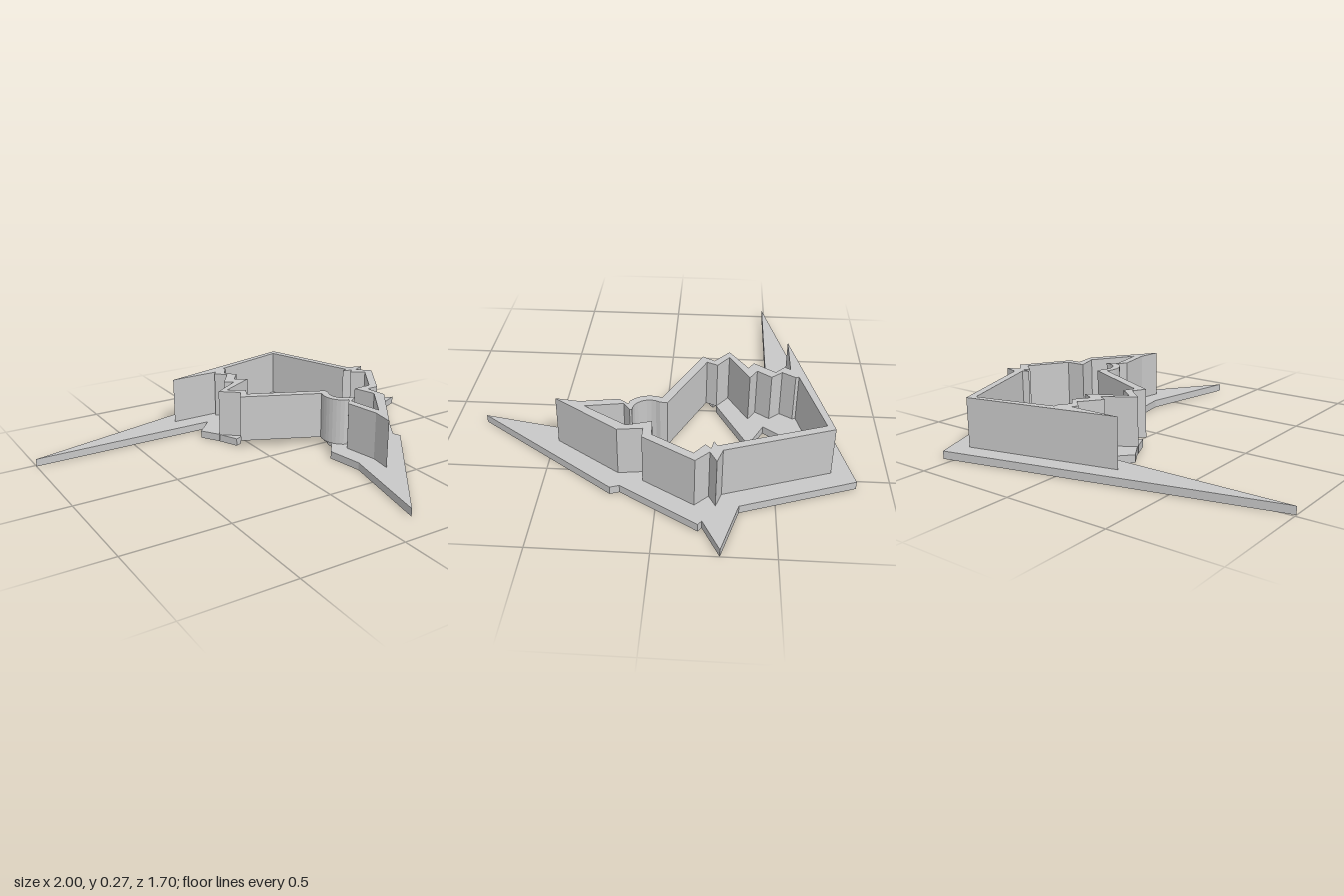
import * as THREE from 'three';

const BASE_TOP = 0.037, WALL_TOP = 0.268;

// Plan outlines are [x, z] pairs; the slab stands between y0 and y1.
function slab(name, outline, hole, y0, y1, material) {
  const toPoints = (list) => list.map(([x, z]) => new THREE.Vector2(x, -z));
  const shape = new THREE.Shape(toPoints(outline));
  // The hole runs the opposite way round so that its walls face inwards
  if (hole) shape.holes.push(new THREE.Path(toPoints(hole).reverse()));
  const geometry = new THREE.ExtrudeGeometry(shape, { depth: y1 - y0, bevelEnabled: false });
  geometry.rotateX(-Math.PI / 2).translate(0, y0, 0);
  const mesh = new THREE.Mesh(geometry, material);
  mesh.name = name;
  return mesh;
}

// Points on the small round bay beside the opening, from its front end to its back end.
function bay(radius, from, to, steps = 8) {
  return Array.from({ length: steps + 1 }, (_, i) => {
    const a = from + (to - from) * i / steps;
    return [0.4 + radius * Math.cos(a), 0.05 + radius * Math.sin(a)];
  });
}

export function createModel() {
  const group = new THREE.Group();
  group.name = 'jaggedWalledForm';
  const grey = new THREE.MeshStandardMaterial({ color: 0xc8c8c8 });
  grey.name = 'grey';

  // Closed wall: outside face, in four runs
  const outsideFront = [
    [-0.225, -0.58], [0.495, -0.745], [0.67, -0.274], [0.745, -0.25], [0.685, -0.22], [0.745, -0.162],
    [0.6, 0.065], [0.54, 0.065], [0.555, 0.175], [0.34, 0.472], [0.355, 0.36], [0.325, 0.19],
    [0.36, 0.145],
  ];
  const outsideBay = bay(0.11, 2.15, 3.6);
  const outsideCorner = [-0.065, -0.168];
  const outsideZigzag = [
    [-0.03, -0.225], [-0.115, -0.295], [0.025, -0.385], [-0.02, -0.41],
    [0.055, -0.51], [0.005, -0.555], [0.025, -0.58],
  ];
  const outside = [...outsideFront, ...outsideBay, outsideCorner, ...outsideZigzag];

  // Closed wall: inside face
  const insideFront = [
    [0.09, -0.615], [0.47, -0.71], [0.64, -0.25], [0.61, -0.235], [0.66, -0.225], [0.635, -0.2],
    [0.695, -0.155], [0.58, 0.025], [0.485, 0.03], [0.52, 0.14], [0.39, 0.335], [0.36, 0.165],
    [0.405, 0.135], ...bay(0.075, 1.5, 3.75), [0.342, -0.025],
  ];
  const insideCorner = [-0.015, -0.19];
  const insideZigzag = [
    [0.01, -0.24], [-0.065, -0.295], [0.11, -0.39], [0.05, -0.425],
    [0.1, -0.49], [0.055, -0.54], [0.095, -0.6],
  ];
  const inside = [...insideFront, insideCorner, ...insideZigzag];
  group.add(slab('wall', outside, inside, BASE_TOP, WALL_TOP, grey));

  // Base plate outside the wall; a slot as wide as the wall is left open beneath it
  const outerBase = [
    [-1, -0.487], [0.55, -0.85], [0.74, -0.347], [1, -0.273], [0.84, -0.197], [0.862, -0.182],
    [0.64, 0.16], [0.655, 0.2], [0.163, 0.85], [0.265, 0.36], [0.235, 0.18],
    ...outsideBay.slice(0, 4).reverse(), ...outsideFront.slice().reverse(),
    ...outsideZigzag.slice().reverse(),
    [-0.045, -0.21], [-0.07, -0.2], [-0.117, -0.305], [-0.17, -0.39], [-0.08, -0.487],
  ];
  group.add(slab('outerBase', outerBase, null, 0, BASE_TOP, grey));

  // Base plate inside the wall, with a jagged inner edge
  const innerBase = [
    ...insideZigzag, ...insideFront,
    [0.38, 0], [0.365, -0.065], [0.53, -0.065], [0.58, -0.145], [0.44, -0.255], [0.53, -0.305],
    [0.415, -0.6], [0.22, -0.55], [0.23, -0.535], [0.17, -0.46], [0.315, -0.39],
  ];
  group.add(slab('innerBase', innerBase, null, 0, BASE_TOP, grey));
  return group;
}
